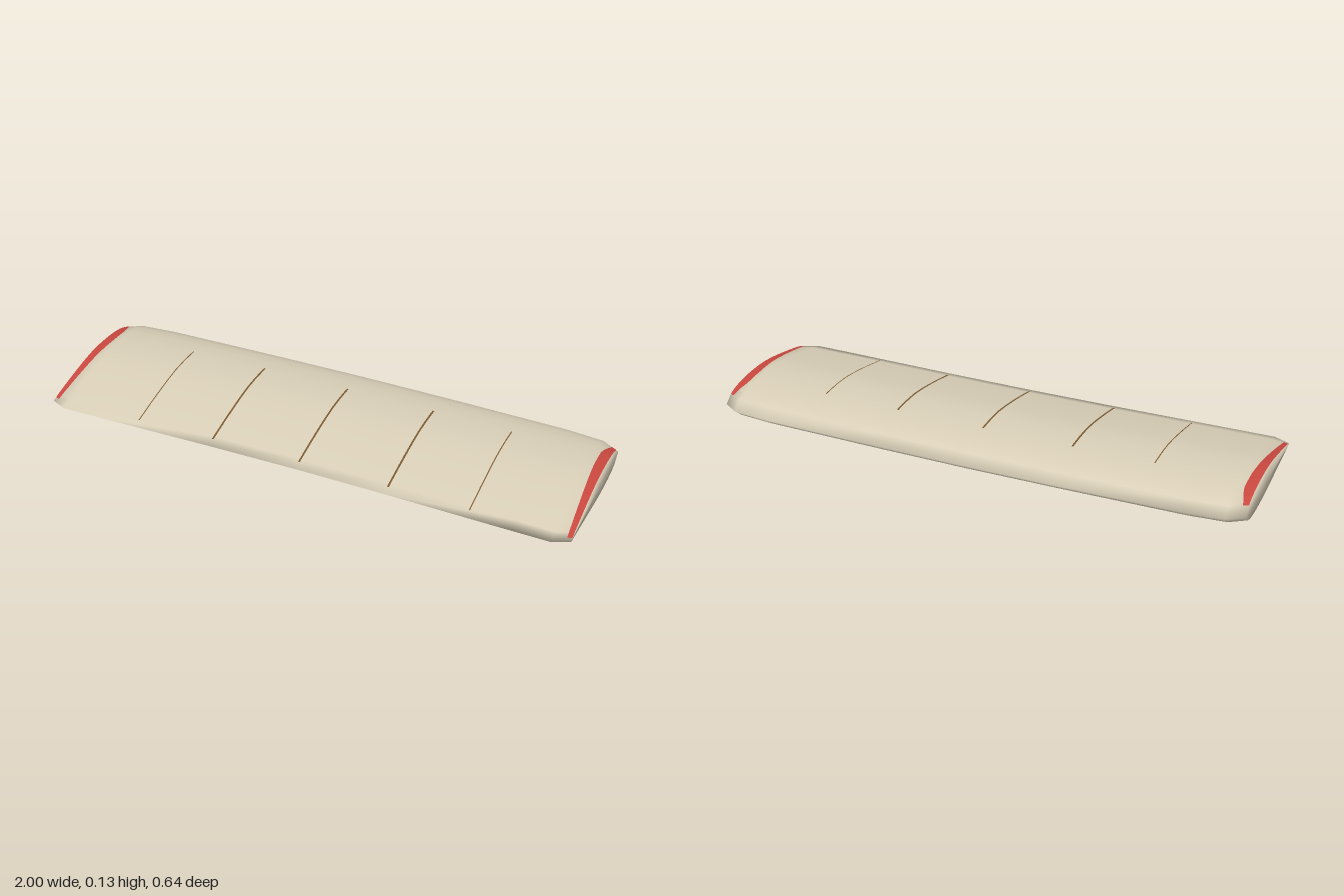
import * as THREE from 'three';
import { RoundedBoxGeometry } from 'three/addons/geometries/RoundedBoxGeometry.js';

// Airfoil profile: chord fraction (nose to tail), upper and lower height
const T = [0, 0.06, 0.12, 0.2, 0.3, 0.4, 0.5, 0.6, 0.7, 0.8, 0.93, 1];
const TOP = [0.065, 0.096, 0.11, 0.12, 0.126, 0.128, 0.126, 0.118, 0.107, 0.095, 0.077, 0.065];
const LOW = [0.065, 0.034, 0.023, 0.018, 0.018, 0.021, 0.028, 0.035, 0.043, 0.05, 0.06, 0.065];
// Half-span stations: distance out, leading edge z, trailing edge z, thickness scale
const X = [0, 0.34, 0.8, 0.94, 1];
const LEAD = [-0.325, -0.322, -0.313, -0.3, -0.262];
const TRAIL = [0.306, 0.309, 0.318, 0.32, 0.293];
const THICK = [1, 1, 1, 0.99, 0.9];
const MID = 0.065;

function lerpTable(keys, values, k) {
  let i = 0;
  while (i < keys.length - 2 && k > keys[i + 1]) i++;
  return THREE.MathUtils.lerp(values[i], values[i + 1], (k - keys[i]) / (keys[i + 1] - keys[i]));
}

// A point on the wing skin, optionally lifted off it
function skinPoint(x, t, upper, lift = 0) {
  const a = Math.abs(x);
  const z = THREE.MathUtils.lerp(lerpTable(X, LEAD, a), lerpTable(X, TRAIL, a), t);
  const h = lerpTable(T, upper ? TOP : LOW, t) - MID;
  return [x, MID + h * lerpTable(X, THICK, a) + (upper ? lift : -lift), z];
}

function buildGeometry(positions, index) {
  const g = new THREE.BufferGeometry();
  g.setAttribute('position', new THREE.Float32BufferAttribute(positions, 3));
  g.setIndex(index);
  g.computeVertexNormals();
  return g;
}

// Closed loft through the airfoil sections, with a cap at each tip
function wingGeometry() {
  const stations = [...X.slice(1).reverse().map((x) => -x), ...X];
  const ring = [
    ...T.map((t) => [t, true]),
    ...T.slice(1, -1).reverse().map((t) => [t, false]),
  ];
  const n = ring.length, pos = [], idx = [];
  for (const x of stations) for (const [t, up] of ring) pos.push(...skinPoint(x, t, up));
  for (let i = 0; i < stations.length - 1; i++) {
    for (let j = 0; j < n; j++) {
      const a = i * n + j, b = i * n + (j + 1) % n;
      idx.push(a, b, a + n, b, b + n, a + n);
    }
  }
  const centre = pos.length / 3, last = (stations.length - 1) * n;
  pos.push(-1, 0.07, -0.02, 1, 0.07, -0.02);
  for (let j = 0; j < n; j++) {
    const k = (j + 1) % n;
    idx.push(centre, k, j, centre + 1, last + j, last + k);
  }
  return buildGeometry(pos, idx);
}

// Thin strip that follows the skin between two spanwise edges
function stripGeometry(t0, t1, inner, outer, upper, lift) {
  const pos = [], idx = [], steps = 24;
  for (let i = 0; i <= steps; i++) {
    const t = THREE.MathUtils.lerp(t0, t1, i / steps);
    const edges = [inner(t), outer(t)].sort((a, b) => a - b);
    for (const x of edges) pos.push(...skinPoint(x, t, upper, lift));
    if (i === steps) continue;
    const a = i * 2;
    if (upper) idx.push(a, a + 2, a + 1, a + 2, a + 3, a + 1);
    else idx.push(a, a + 1, a + 2, a + 2, a + 1, a + 3);
  }
  return buildGeometry(pos, idx);
}

export function createModel() {
  const cream = new THREE.MeshStandardMaterial({ color: 0xd9cfb8 });
  const red = new THREE.MeshStandardMaterial({ color: 0xc9483f, side: THREE.DoubleSide });
  const brown = new THREE.MeshStandardMaterial({ color: 0x7a5a32, side: THREE.DoubleSide });
  const slate = new THREE.MeshStandardMaterial({ color: 0x2f4a58 });
  cream.name = 'cream skin';
  red.name = 'red trim';
  brown.name = 'brown rib';
  slate.name = 'slate mount';

  const model = new THREE.Group();
  model.name = 'wing';
  const add = (name, geometry, material) => {
    const mesh = new THREE.Mesh(geometry, material);
    mesh.name = name;
    model.add(mesh);
    return mesh;
  };

  add('wingSkin', wingGeometry(), cream);

  // Rib lines along the upper skin
  for (const x of [-0.64, -0.34, 0, 0.34, 0.64]) {
    const half = Math.abs(x) > 0.5 ? 0.002 : 0.0035;
    add('ribLine', stripGeometry(0.28, 0.95, () => x - half, () => x + half, true, 0.0012), brown);
  }

  for (const s of [-1, 1]) {
    // Tip trim: broad above, narrow below
    const innerTop = (t) => s * (0.962 + 0.022 * Math.max(0, (t - 0.35) / 0.65) + 0.02 * Math.max(0, 0.2 - t) / 0.14);
    add('tipTrimTop', stripGeometry(0.06, 0.97, innerTop, () => s * 0.999, true, 0.0015), red);
    add('tipTrimBottom', stripGeometry(0.2, 0.85, () => s * 0.986, () => s * 0.999, false, 0.0015), red);

    // Mounting rail under the wing
    const rail = add('mountRail', new RoundedBoxGeometry(0.068, 0.046, 0.348, 3, 0.009), slate);
    rail.position.set(s * 0.34, 0.023, -0.038);
  }
  return model;
}
